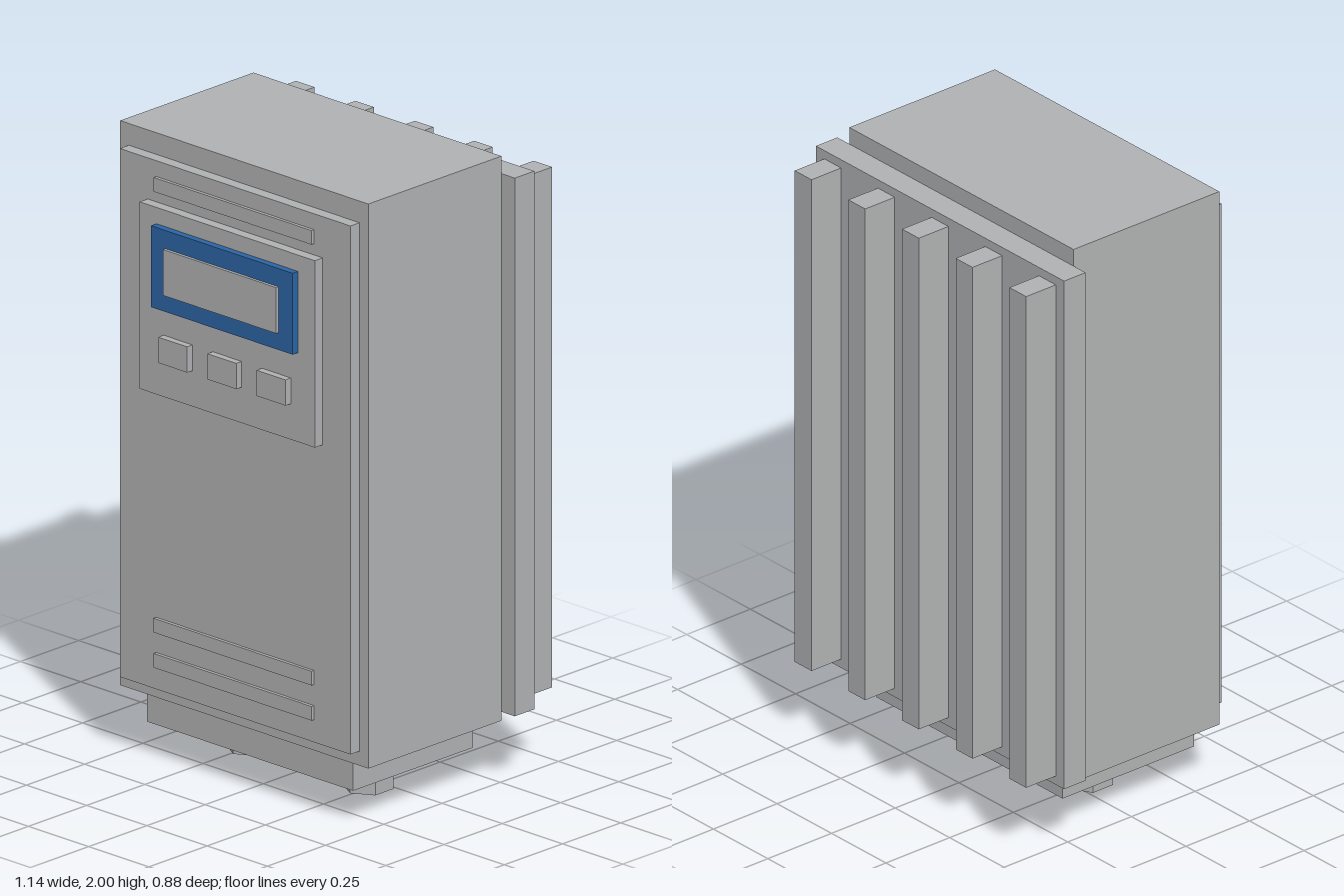
import * as THREE from 'three';

export function createModel() {
  const model = new THREE.Group();
  const grey = new THREE.MeshStandardMaterial({ color: 0xb1b2b3 });
  grey.name = 'casingGrey';
  const blue = new THREE.MeshStandardMaterial({ color: 0x2c64a5 });
  blue.name = 'displayBlue';

  // Box given by its centre x, width, and y and z ranges
  function box(name, x, width, [y0, y1], [z0, z1], material = grey) {
    const mesh = new THREE.Mesh(new THREE.BoxGeometry(width, y1 - y0, z1 - z0), material);
    mesh.position.set(x, (y0 + y1) / 2, (z0 + z1) / 2);
    mesh.name = name;
    model.add(mesh);
  }

  // Casing with front cover and terminal base
  box('casing', 0, 1.03, [0.203, 2], [-0.24, 0.332]);
  box('frontCover', 0, 0.957, [0.249, 1.931], [0.332, 0.371]);
  box('terminalBase', 0, 0.855, [0.103, 0.203], [-0.208, 0.307]);

  // Raised ribs on the cover
  for (const y of [0.343, 0.455, 1.858]) {
    box('coverRib', 0, 0.655, [y - 0.0225, y + 0.0225], [0.371, 0.382]);
  }

  // Control panel with display and three buttons
  box('controlPanel', 0, 0.727, [1.205, 1.8], [0.371, 0.405]);
  box('displayFrame', 0, 0.588, [1.489, 1.748], [0.405, 0.428]);
  model.children.at(-1).material = blue;
  box('displayScreen', 0, 0.47, [1.544, 1.69], [0.428, 0.438]);
  for (const x of [-0.204, 0, 0.204]) {
    box('button', x, 0.12, [1.319, 1.401], [0.405, 0.428]);
  }

  // Heat sink: back plate and five upright fins
  box('heatSinkPlate', 0, 1.14, [0.231, 1.944], [-0.324, -0.24]);
  for (let i = -2; i <= 2; i++) {
    box('heatSinkFin', i * 0.2465, 0.077, [0.26, 1.916], [-0.44, -0.324]);
  }

  // Hexagonal cable glands underneath
  for (const x of [-0.2425, 0.2425]) {
    const geometry = new THREE.CylinderGeometry(0.0775, 0.0775, 0.103, 6).toNonIndexed();
    geometry.computeVertexNormals();
    const gland = new THREE.Mesh(geometry, grey);
    gland.position.set(x, 0.0515, 0.051);
    gland.name = 'cableGland';
    model.add(gland);
  }

  return model;
}
